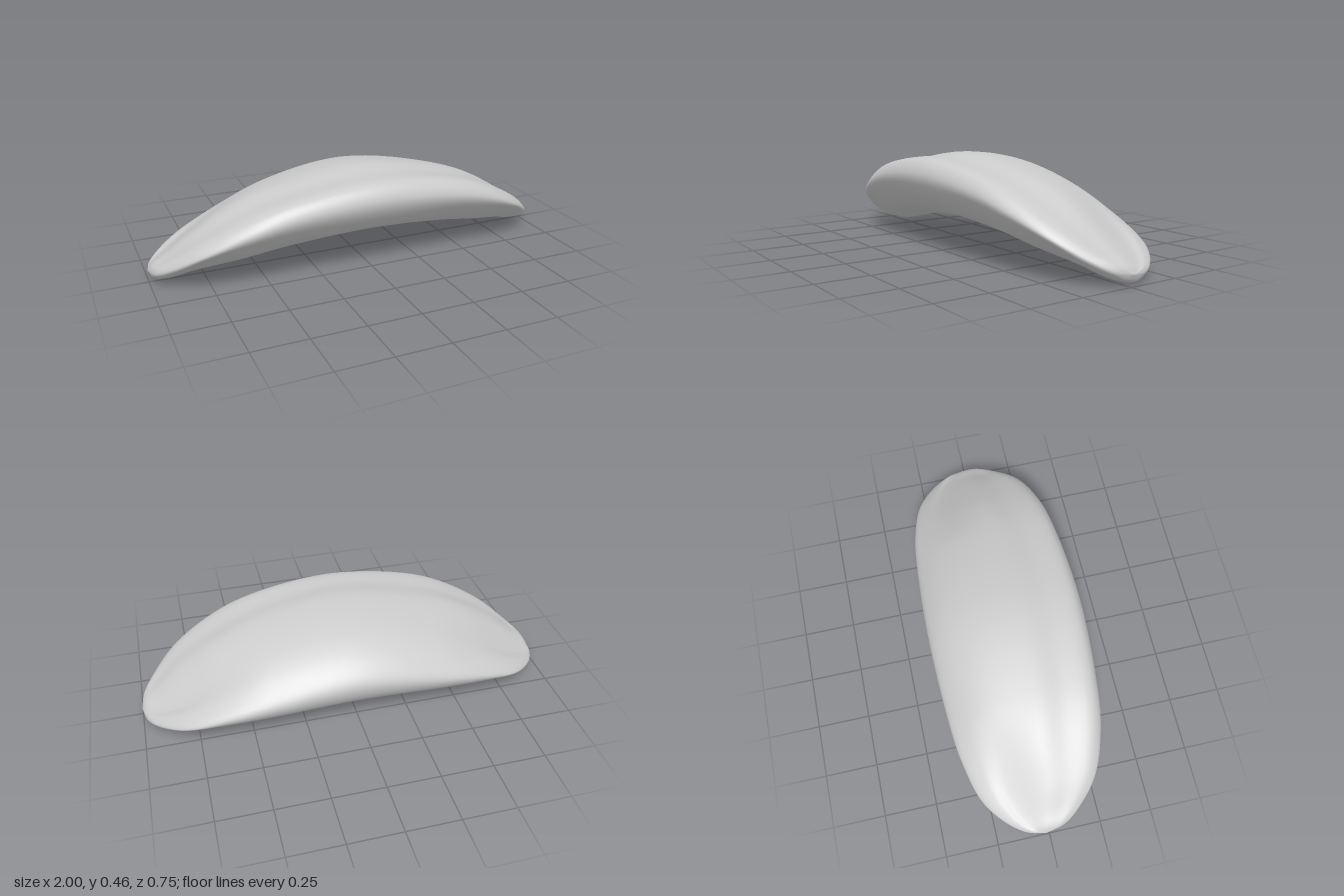
import * as THREE from 'three';

// Half of the pad: cross-sections from the middle out to the left tip.
// Each is [x, [z, y, ...]] going front rim, over the top, back lip, underside.
const SECTIONS = [
  [0, [.375, .36, .335, .435, .2, .45, .07, .463, -.17, .42, -.32, .335, -.375, .25, -.315, .135, -.08, .126, .19, .17, .315, .25]],
  [.4, [.355, .325, .318, .388, .18, .395, .05, .403, -.17, .352, -.3, .278, -.362, .2, -.3, .11, -.07, .11, .18, .145, .3, .235]],
  [.6, [.328, .275, .288, .325, .15, .328, .03, .333, -.16, .268, -.27, .222, -.34, .162, -.28, .092, -.06, .075, .16, .112, .275, .2]],
  [.8, [.26, .19, .222, .222, .12, .22, .02, .215, -.155, .15, -.22, .142, -.283, .102, -.235, .07, -.08, .022, .09, .064, .205, .14]],
  [.92, [.16, .112, .13, .134, .065, .13, 0, .125, -.11, .09, -.15, .088, -.188, .066, -.155, .032, -.07, .001, .02, .018, .11, .062]],
  [.98, [.075, .068, .058, .085, .03, .087, -.01, .083, -.06, .066, -.085, .062, -.1, .046, -.08, .027, -.045, .014, 0, .02, .045, .04]],
];
const TIP = new THREE.Vector3(1, .05, -.015);
const RAILS = 11, RINGS = 72, SIDES = 66;

// Lengthwise curve through one point of every section, mirrored to both tips
function rail(j) {
  const half = SECTIONS.map(([x, p]) => new THREE.Vector3(x, p[2 * j + 1], p[2 * j]));
  half.push(TIP.clone());
  const mirrored = half.slice(1).reverse().map(v => new THREE.Vector3(-v.x, v.y, v.z));
  return new THREE.CatmullRomCurve3([...mirrored, ...half]);
}

function padGeometry() {
  const rails = Array.from({ length: RAILS }, (_, j) => rail(j));
  const pos = [], idx = [];

  // Smooth closed rings between the tips
  for (let i = 1; i < RINGS; i++) {
    const ring = new THREE.CatmullRomCurve3(rails.map(r => r.getPoint(i / RINGS)), true);
    for (let s = 0; s < SIDES; s++) pos.push(...ring.getPoint(s / SIDES).toArray());
  }
  const last = RINGS - 2;
  for (let i = 0; i < last; i++) {
    for (let s = 0; s < SIDES; s++) {
      const t = (s + 1) % SIDES;
      const a = i * SIDES + s, b = a + SIDES, c = i * SIDES + t, d = c + SIDES;
      idx.push(a, b, c, b, d, c);
    }
  }

  // Single vertex closing each tip
  const right = pos.length / 3, left = right + 1;
  pos.push(-TIP.x, TIP.y, TIP.z, TIP.x, TIP.y, TIP.z);
  for (let s = 0; s < SIDES; s++) {
    const t = (s + 1) % SIDES;
    idx.push(right, s, t, last * SIDES + s, left, last * SIDES + t);
  }

  const geometry = new THREE.BufferGeometry();
  geometry.setAttribute('position', new THREE.Float32BufferAttribute(pos, 3));
  geometry.setIndex(idx);
  geometry.computeVertexNormals();
  return geometry;
}

export function createModel() {
  const group = new THREE.Group();
  const pad = new THREE.Mesh(padGeometry(), new THREE.MeshStandardMaterial({ color: 0xcccccc }));
  pad.name = 'curvedPad';
  group.add(pad);
  return group;
}
